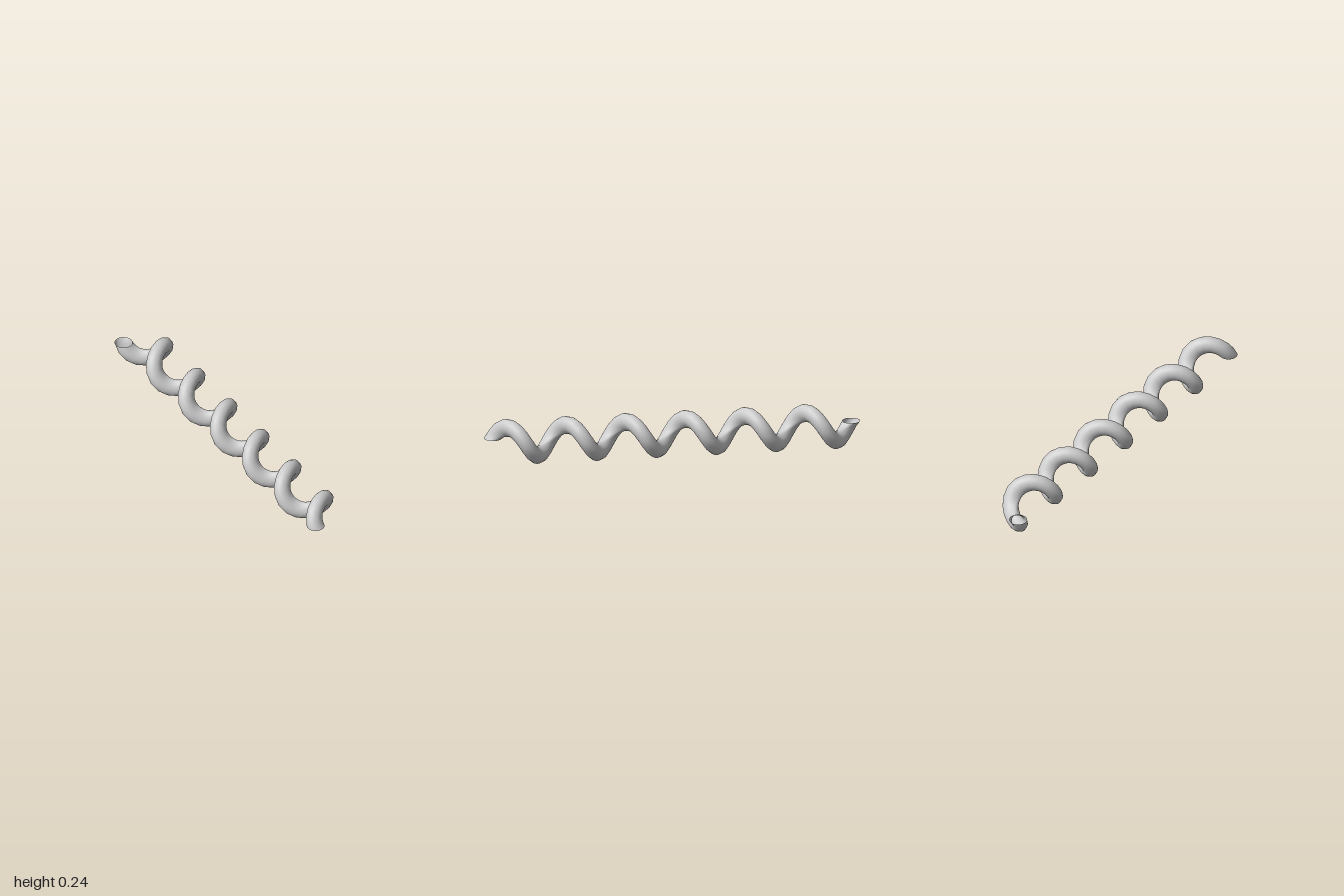
import * as THREE from 'three';
import { ParametricGeometry } from 'three/addons/geometries/ParametricGeometry.js';

const TURNS = 6, STEPS_PER_TURN = 16, RING_SIDES = 32;
const COIL_RADIUS = 0.075, TUBE_RADIUS = 0.047, HALF_LENGTH = 0.953, CENTRE_Y = 0.122;

// A horizontal circle screwed around the z axis, from the front end to the back
function coilSurface(u, v, target) {
  const ring = u * Math.PI * 2;
  const turn = v * TURNS * Math.PI * 2;
  const reach = COIL_RADIUS + TUBE_RADIUS * Math.cos(ring);
  target.set(
    -reach * Math.cos(turn),
    CENTRE_Y + reach * Math.sin(turn),
    HALF_LENGTH * (1 - 2 * v) + TUBE_RADIUS * Math.sin(ring)
  );
}

export function createModel() {
  const group = new THREE.Group();
  group.name = 'coilSpring';

  // Open-ended coil, so the inside shows at both ends
  const coil = new THREE.Mesh(
    new ParametricGeometry(coilSurface, RING_SIDES, TURNS * STEPS_PER_TURN),
    new THREE.MeshStandardMaterial({ color: 0xcccccc, side: THREE.DoubleSide })
  );
  coil.name = 'coil';
  group.add(coil);
  return group;
}
